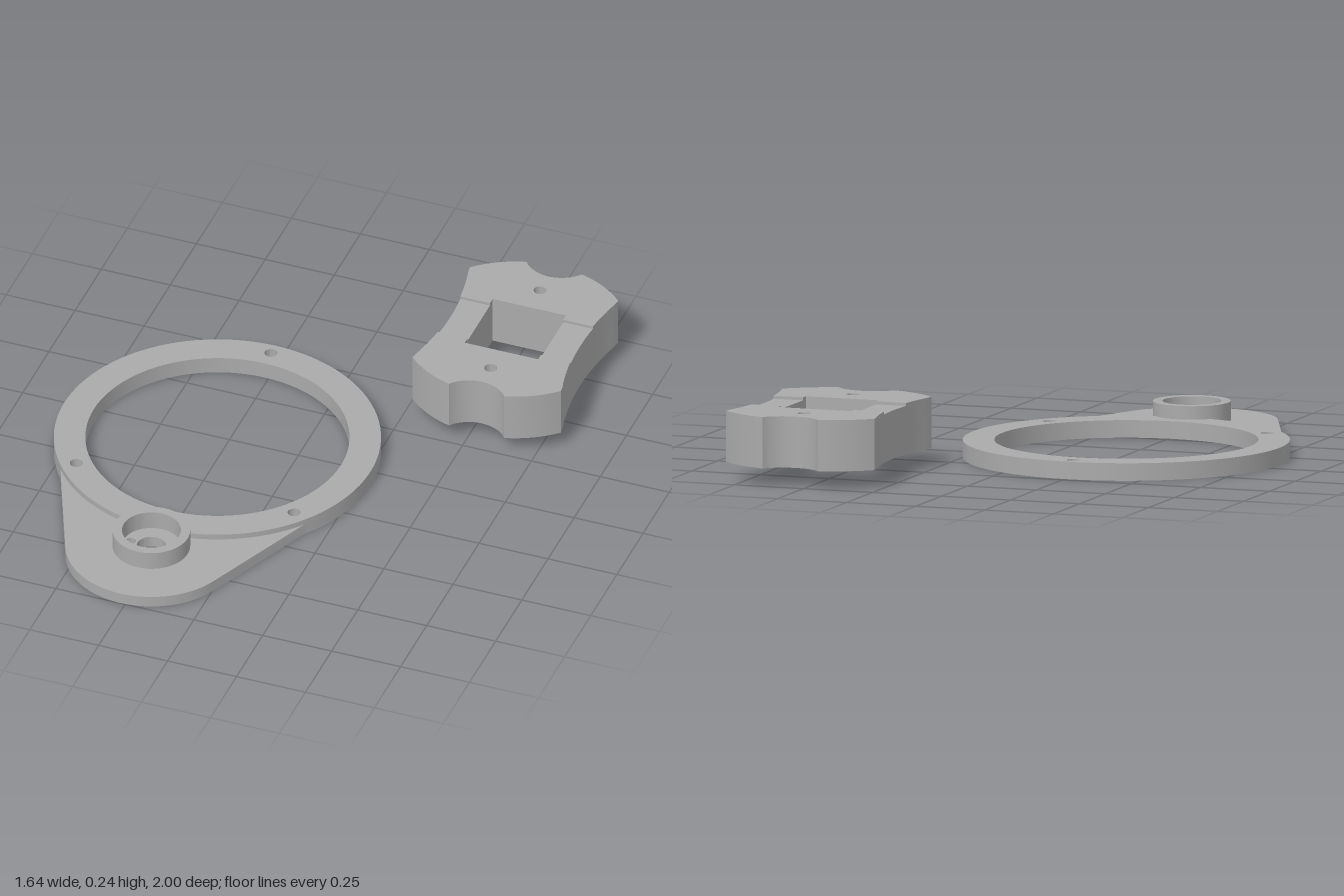
import * as THREE from 'three';
import { toCreasedNormals } from 'three/addons/utils/BufferGeometryUtils.js';

const V = (x, z) => new THREE.Vector2(x, z);

// adds a round hole to a plan shape
function hole(shape, x, z, r) {
  shape.holes.push(new THREE.Path().absarc(x, z, r, 0, Math.PI * 2, true));
}

// plan shape (x, z) raised from y0 to y1
function slab(name, shape, y0, y1, material, segments = 32) {
  const geo = new THREE.ExtrudeGeometry(shape, { depth: y1 - y0, bevelEnabled: false, curveSegments: segments });
  geo.rotateX(Math.PI / 2).translate(0, y1, 0);
  const mesh = new THREE.Mesh(toCreasedNormals(geo, 0.4), material);
  mesh.name = name;
  return mesh;
}

// points along an arc, both ends included
function arc(cx, cz, r, a0, a1, n = 12) {
  return Array.from({ length: n + 1 }, (_, i) => {
    const a = a0 + (a1 - a0) * i / n;
    return V(cx + r * Math.cos(a), cz + r * Math.sin(a));
  });
}

export function createModel() {
  const model = new THREE.Group();
  const grey = new THREE.MeshStandardMaterial({ color: 0xaaaaaa });
  grey.name = 'plain grey';

  // ring bracket, centred on its ring
  const bracket = new THREE.Group();
  bracket.name = 'ringBracket';
  bracket.position.set(-0.265, 0, 0.076);
  const R = 0.555, bore = 0.448, bossZ = 0.631, bossR = 0.132;
  const screwHoles = shape => {
    for (const [x, z] of [[0, -0.511], [-0.395, 0.308], [0.395, 0.308]]) hole(shape, x, z, 0.022);
  };

  // lower plate: ring with tapered rounded arm
  const plate = new THREE.Shape();
  plate.absarc(0, bossZ, 0.292, 0.417, Math.PI - 0.417, false);
  plate.absarc(0, 0, R, Math.PI - 0.65, Math.PI * 2 + 0.65, false);
  plate.closePath();
  hole(plate, 0, 0, bore);
  screwHoles(plate);
  hole(plate, 0, bossZ, 0.05);
  for (const s of [-1, 1]) hole(plate, s * 0.075, bossZ, 0.018);
  bracket.add(slab('basePlate', plate, 0, 0.04, grey, 48));

  // raised ring, notched where the boss stands
  const ring = new THREE.Shape();
  ring.absarc(0, 0, R, Math.PI / 2 + 0.184, Math.PI * 2.5 - 0.184, false);
  ring.absarc(0, bossZ, bossR, -0.693, -Math.PI + 0.693, true);
  ring.closePath();
  hole(ring, 0, 0, bore);
  screwHoles(ring);
  bracket.add(slab('raisedRing', ring, 0.04, 0.06, grey, 48));

  // hollow boss
  const boss = new THREE.Shape().absarc(0, bossZ, bossR, 0, Math.PI * 2, false);
  hole(boss, 0, bossZ, 0.1);
  bracket.add(slab('boss', boss, 0.04, 0.106, grey));
  model.add(bracket);

  // clamp block with scalloped outline
  const block = new THREE.Group();
  block.name = 'clampBlock';
  block.position.set(0.547, 0, -0.632);
  const half = 0.133, step = 0.107;

  // half outline, from the +x side at z0 round to the -x side
  const halfOutline = z0 => {
    const side = [];
    for (let i = 0; i < 10; i++) {
      const z = z0 + (0.273 - z0) * i / 10;
      side.push(V(1.275 - Math.sqrt(1.04 ** 2 - z * z), z));
    }
    const quarter = [
      ...side,
      ...arc(0, 0, 0.384, 0.795, 1.307, 8),
      ...arc(0, 0.446, 0.126, -0.65, -Math.PI / 2, 10).slice(1),
    ];
    const mirrored = quarter.slice(0, -1).reverse().map(p => V(-p.x, p.y));
    return [...quarter, ...mirrored];
  };

  // main body with square opening
  const upper = halfOutline(0).slice(0, -1);
  const body = new THREE.Shape([...upper, ...upper.map(p => V(-p.x, -p.y))]);
  body.holes.push(new THREE.Path([V(-half, -half), V(-half, half), V(half, half), V(half, -half)]));
  for (const s of [-1, 1]) hole(body, 0, s * 0.236, 0.022);
  block.add(slab('blockBody', body, 0.062, 0.228, grey, 16));

  // raised end lands either side of the shallow channel
  for (const s of [-1, 1]) {
    const land = new THREE.Shape([
      ...halfOutline(step), V(-half, step), V(-half, half), V(half, half), V(half, step),
    ]);
    hole(land, 0, 0.236, 0.022);
    const mesh = slab(s > 0 ? 'frontLand' : 'backLand', land, 0.228, 0.238, grey, 16);
    if (s < 0) mesh.rotation.y = Math.PI;
    block.add(mesh);
  }
  model.add(block);

  return model;
}
